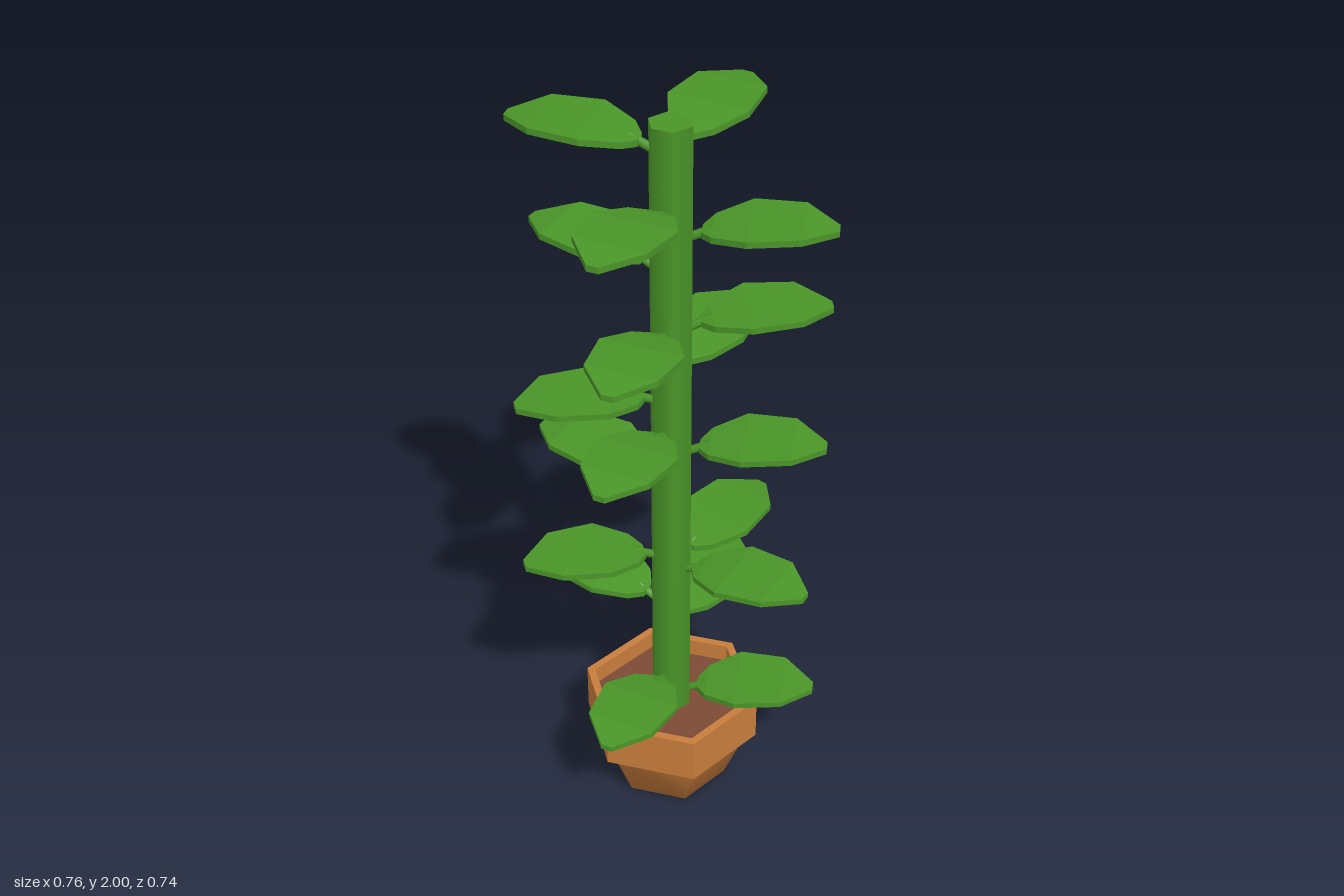
import * as THREE from 'three';

const CX = -0.015;
const rad = THREE.MathUtils.degToRad;
const POT_TURN = rad(36.9);

const green = new THREE.MeshStandardMaterial({ color: 0x4a9528 });
const leafGreen = new THREE.MeshStandardMaterial({ color: 0x4a9528, flatShading: true });
const clay = new THREE.MeshStandardMaterial({ color: 0xc87d3c });
const clayFlat = new THREE.MeshStandardMaterial({ color: 0xc87d3c, flatShading: true });
const earth = new THREE.MeshStandardMaterial({ color: 0x7c4a35, flatShading: true });

function addMesh(parent, name, geometry, material) {
  const mesh = new THREE.Mesh(geometry, material);
  mesh.name = name;
  parent.add(mesh);
  return mesh;
}

// Six-sided turned shape from [radius, height] pairs
function hexLathe(points) {
  return new THREE.LatheGeometry(points.map(p => new THREE.Vector2(...p)), 6);
}

// Leaf blade stations along its length: [distance from stem axis, half width, top height]
const STATIONS = [
  [0.073, 0.02, -0.035],
  [0.1, 0.06, -0.025],
  [0.185, 0.107, -0.006],
  [0.31, 0.092, 0],
  [0.392, 0.015, -0.012],
];

// A segmented slab whose slices are moved to the stations
function bladeGeometry() {
  const geo = new THREE.BoxGeometry(4, 1, 2, 4, 1, 1);
  const pos = geo.attributes.position;
  for (let i = 0; i < pos.count; i++) {
    const [u, half, top] = STATIONS[Math.round(pos.getX(i) + 2)];
    const y = pos.getY(i) > 0 ? top : top - 0.016;
    pos.setXYZ(i, u, y, pos.getZ(i) * half);
  }
  geo.computeVertexNormals();
  return geo;
}

// Short stalk rising from the stem to the blade
function stalkGeometry() {
  const path = new THREE.LineCurve3(new THREE.Vector3(0.03, -0.066, 0), new THREE.Vector3(0.1, -0.034, 0));
  return new THREE.TubeGeometry(path, 1, 0.011, 6);
}

// Leaf directions (degrees from +x towards +z) with the heights they occur at
const LEAVES = [
  [-24.5, [1.98, 1.37, 0.557]],
  [-12.7, [0.787]],
  [45, [1.772, 1.16, 0.35]],
  [33, [1.52]],
  [66.7, [0.79]],
  [153, [1.846, 1.23, 0.42]],
  [149, [1.52]],
  [-158.5, [1.32, 0.83]],
  [-112, [1.675, 1.06, 0.65]],
  [-127.3, [1.99]],
];

export function createModel() {
  const model = new THREE.Group();
  model.name = 'pottedPlant';

  // Pot: tapered body, overhanging rim and soil
  const pot = new THREE.Group();
  pot.name = 'pot';
  pot.position.x = CX;
  pot.rotation.y = POT_TURN;
  model.add(pot);
  addMesh(pot, 'potBody', hexLathe([[0, 0], [0.156, 0], [0.22, 0.167]]), clay);
  addMesh(pot, 'potRim', hexLathe([
    [0.215, 0.165], [0.2446, 0.165], [0.2446, 0.297], [0.2207, 0.297], [0.2207, 0.235],
  ]), clayFlat);
  addMesh(pot, 'soil', new THREE.CylinderGeometry(0.2207, 0.2207, 0.02, 6), earth).position.y = 0.235;

  // Stem
  const stem = addMesh(model, 'stem', new THREE.CylinderGeometry(0.055, 0.055, 1.76, 6), green);
  stem.position.set(CX, 1.12, 0);
  stem.rotation.y = rad(30);

  // Leaves
  const blade = bladeGeometry();
  const stalk = stalkGeometry();
  for (const [angle, heights] of LEAVES) {
    for (const y of heights) {
      const leaf = new THREE.Group();
      leaf.name = 'leaf';
      leaf.position.set(CX, y, 0);
      leaf.rotation.y = -rad(angle);
      addMesh(leaf, 'leafBlade', blade, leafGreen);
      addMesh(leaf, 'leafStalk', stalk, green);
      model.add(leaf);
    }
  }
  return model;
}
